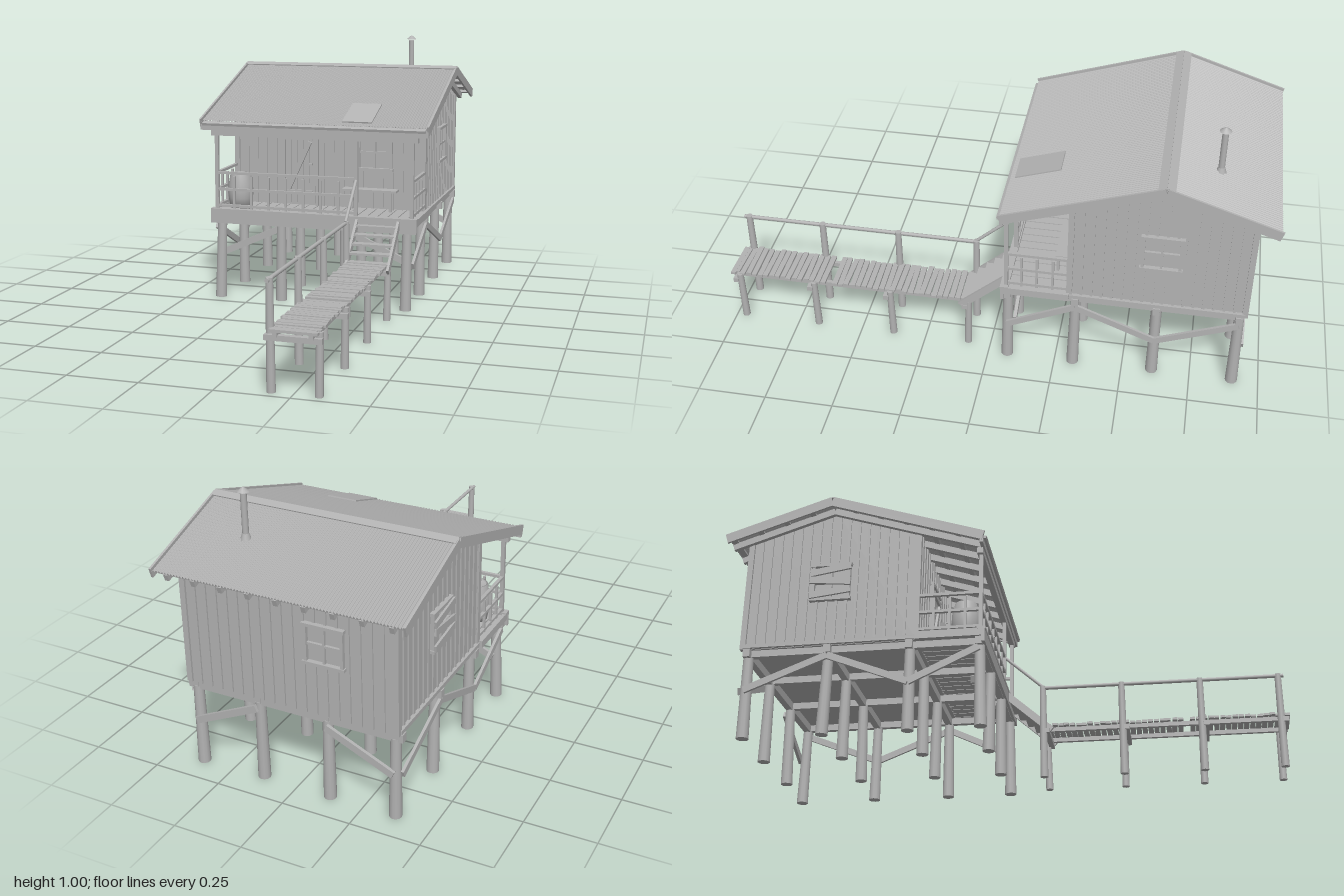
import * as THREE from 'three';

const V = (x, y, z) => new THREE.Vector3(x, y, z);
const RIDGE_Z = -0.61, RIDGE_Y = 0.88, SLOPE = 0.328;
const roofY = z => RIDGE_Y - SLOPE * Math.abs(z - RIDGE_Z);

export function createModel() {
  const model = new THREE.Group();
  const wood = new THREE.MeshStandardMaterial({ color: 0xb2b2b2, side: THREE.DoubleSide });
  wood.name = 'weathered grey';
  let seed = 7;
  const jitter = a => { seed = (seed * 16807) % 2147483647; return (seed / 2147483647 - 0.5) * 2 * a; };

  const group = (name, parent = model) => { const g = new THREE.Group(); g.name = name; parent.add(g); return g; };
  const add = (name, geo, parent) => { const m = new THREE.Mesh(geo, wood); m.name = name; parent.add(m); return m; };
  const box = (parent, name, w, h, d, x, y, z) => {
    const m = add(name, new THREE.BoxGeometry(w, h, d), parent);
    m.position.set(x, y, z);
    return m;
  };
  // rectangular timber between two points
  const beam = (parent, name, a, b, w, h) => {
    const m = add(name, new THREE.BoxGeometry(w, h, a.distanceTo(b)), parent);
    m.position.copy(a).add(b).multiplyScalar(0.5);
    m.lookAt(b);
    return m;
  };
  // round pole between two points
  const pole = (parent, name, a, b, r0, r1 = r0) => {
    const m = add(name, new THREE.CylinderGeometry(r1, r0, a.distanceTo(b), 12), parent);
    m.position.copy(a).add(b).multiplyScalar(0.5);
    m.quaternion.setFromUnitVectors(V(0, 1, 0), b.clone().sub(a).normalize());
    return m;
  };

  // stilts and bracing
  const under = group('substructure');
  const rows = [-0.075, -0.32, -0.61, -0.9], cols = [-0.37, -0.127, 0.127, 0.37];
  for (const z of rows) {
    for (const x of cols)
      pole(under, 'stilt', V(x + jitter(0.006), 0, z + jitter(0.008)), V(x, 0.305, z), 0.022, 0.018);
    box(under, 'crossBeam', 0.8, 0.03, 0.025, 0, 0.31, z);
  }
  for (let i = 0; i < 3; i++) for (const s of [-1, 1]) {
    const up = (i % 2 === 0) === (s > 0);
    beam(under, 'sideBrace', V(s * 0.393, up ? 0.17 : 0.285, rows[i]), V(s * 0.393, up ? 0.285 : 0.17, rows[i + 1]), 0.01, 0.024);
  }
  for (const z of [-0.1, -0.922]) for (const s of [-1, 1])
    beam(under, 'endBrace', V(s * 0.37, 0.175, z), V(s * 0.13, 0.285, z), 0.012, 0.025);
  for (const x of cols) box(under, 'joist', 0.02, 0.025, 0.85, x, 0.312, -0.49);

  // floor and porch deck
  const deck = group('deck');
  for (let i = 0; i < 20; i++)
    box(deck, 'floorBoard', 0.036, 0.014, 0.86, -0.38 + i * 0.04, 0.335, -0.487 + jitter(0.003));
  box(deck, 'frontRim', 0.82, 0.048, 0.012, 0, 0.322, -0.058);
  box(deck, 'frontEdge', 0.82, 0.01, 0.03, 0, 0.35, -0.065);
  for (const s of [-1, 1]) box(deck, 'sideRim', 0.012, 0.028, 0.24, s * 0.402, 0.336, -0.178);

  // house body with gable ends
  const house = group('house');
  const profile = new THREE.Shape([[0.295, 0.326], [0.92, 0.326], [0.92, roofY(-0.92) - 0.015],
    [0.61, RIDGE_Y - 0.015], [0.295, roofY(-0.295) - 0.015]].map(p => new THREE.Vector2(...p)));
  const body = add('walls', new THREE.ExtrudeGeometry(profile, { depth: 0.77, bevelEnabled: false }).rotateY(Math.PI / 2), house);
  body.position.x = -0.385;

  // wall battens, broken around the openings
  const batten = (x, z, w, d, top, gap) => {
    const spans = gap ? [[0.326, gap[0]], [gap[1], top]] : [[0.326, top]];
    for (const [a, b] of spans) if (b - a > 0.01) box(house, 'batten', w, b - a, d, x, (a + b) / 2, z);
  };
  for (let i = 0; i <= 19; i++) {
    const x = -0.38 + i * 0.04;
    const door = x > -0.19 && x < -0.04, win = x > 0.11 && x < 0.27;
    batten(x, -0.294, 0.009, 0.008, roofY(-0.295) - 0.02, door ? [0.33, 0.65] : win ? [0.49, 0.645] : null);
    batten(x, -0.922, 0.009, 0.008, roofY(-0.92) - 0.02, x > -0.21 && x < -0.06 ? [0.51, 0.66] : null);
  }
  for (let i = 0; i <= 17; i++) {
    const z = -0.303 - i * 0.036;
    for (const s of [-1, 1])
      batten(s * 0.386, z, 0.008, 0.009, roofY(z) - 0.02, z < -0.54 && z > -0.685 ? [0.5, 0.64] : null);
  }
  for (const s of [-1, 1]) for (const z of [-0.297, -0.918])
    box(house, 'cornerBoard', 0.02, 0.435, 0.02, s * 0.384, 0.543, z);

  // windows, built facing +z
  const makeWindow = (name, w, h, x, y, z, turn) => {
    const g = group(name, house);
    g.position.set(x, y, z);
    g.rotation.y = turn;
    for (const s of [-1, 1]) {
      box(g, 'jamb', 0.011, h, 0.016, s * w / 2, 0, 0.006);
      box(g, 'headAndSill', w + 0.02, 0.011, 0.02, 0, s * h / 2, 0.007);
    }
    box(g, 'mullion', 0.008, h, 0.01, 0, 0, 0.005);
    box(g, 'glazingBar', w, 0.008, 0.01, 0, 0, 0.005);
    return g;
  };
  makeWindow('frontWindow', 0.13, 0.135, 0.19, 0.567, -0.295, 0);
  makeWindow('leftWindow', 0.13, 0.135, 0.385, 0.57, -0.612, Math.PI / 2);
  makeWindow('backWindow', 0.13, 0.135, -0.135, 0.585, -0.92, Math.PI);
  const boarded = makeWindow('boardedWindow', 0.13, 0.135, -0.385, 0.57, -0.612, -Math.PI / 2);
  [-0.045, 0, 0.045].forEach((y, i) => {
    box(boarded, 'nailedBoard', 0.15, 0.025, 0.008, 0, y, 0.02).rotation.z = [0.12, -0.1, 0.16][i];
  });

  // ledged door
  const door = group('door', house);
  for (let i = 0; i < 5; i++) box(door, 'doorPlank', 0.023, 0.285, 0.012, -0.165 + i * 0.025, 0.493, -0.292);
  for (const y of [0.395, 0.615]) box(door, 'doorLedge', 0.115, 0.018, 0.01, -0.12, y, -0.282);
  beam(door, 'doorBrace', V(-0.165, 0.405, -0.282), V(-0.075, 0.6, -0.282), 0.01, 0.018);
  for (const x of [-0.184, -0.046]) box(door, 'doorJamb', 0.01, 0.31, 0.02, x, 0.497, -0.29);
  box(door, 'doorHead', 0.15, 0.012, 0.02, -0.115, 0.648, -0.29);
  box(door, 'doorHandle', 0.012, 0.008, 0.015, -0.07, 0.51, -0.28);

  // corrugated roof
  const roof = group('roof');
  for (const s of [1, -1]) {
    const run = s > 0 ? 0.555 : 0.385;
    const sheet = new THREE.PlaneGeometry(0.9, 1, 480, 1), p = sheet.attributes.position;
    for (let i = 0; i < p.count; i++) {
      const x = p.getX(i), z = RIDGE_Z + s * (0.5 - p.getY(i)) * run;
      p.setXYZ(i, s * x, roofY(z) + 0.003 * Math.cos(x / 0.9 * Math.PI * 160), z);
    }
    sheet.computeVertexNormals();
    add('corrugatedSheet', sheet, roof);
    const slopePt = (x, z, dy) => V(x, roofY(z) + dy, z);
    const end = RIDGE_Z + s * run;
    for (let i = 0; i < 9; i++) {
      const x = -0.4 + i * 0.1;
      beam(roof, 'rafter', slopePt(x, RIDGE_Z, -0.026), slopePt(x, end - s * 0.012, -0.026), 0.016, 0.024);
    }
    for (let t = 0.08; t < run; t += 0.095) {
      const z = RIDGE_Z + s * t;
      box(roof, 'purlin', 0.88, 0.01, 0.02, 0, roofY(z) - 0.01, z).rotation.x = s * Math.atan(SLOPE);
    }
    for (const e of [-1, 1])
      beam(roof, 'bargeBoard', slopePt(e * 0.449, RIDGE_Z, -0.01), slopePt(e * 0.449, end, -0.01), 0.008, 0.036);
    box(roof, 'ridgeCap', 0.9, 0.004, 0.03, 0, RIDGE_Y + 0.003, RIDGE_Z + s * 0.014).rotation.x = s * 0.3;
  }
  box(roof, 'frontFascia', 0.9, 0.028, 0.012, 0, 0.676, -0.062);
  box(roof, 'patchSheet', 0.115, 0.005, 0.17, 0.172, roofY(-0.155) + 0.006, -0.155).rotation.x = Math.atan(SLOPE);

  // stove pipe
  const chimney = group('chimney');
  pole(chimney, 'pipe', V(0.225, 0.78, -0.78), V(0.225, 0.98, -0.78), 0.011);
  pole(chimney, 'flashing', V(0.225, 0.815, -0.78), V(0.225, 0.84, -0.78), 0.02, 0.012);
  pole(chimney, 'cowl', V(0.225, 0.985, -0.78), V(0.225, 1.0, -0.78), 0.021, 0.003);

  // porch posts and railings
  const porch = group('porch');
  for (const x of [-0.388, 0.172, 0.388]) box(porch, 'porchPost', 0.014, 0.31, 0.014, x, 0.495, -0.07);
  box(porch, 'porchBeam', 0.82, 0.022, 0.022, 0, 0.652, -0.072);
  for (const y of [0.365, 0.43, 0.495]) {
    box(porch, 'frontRail', 0.56, 0.01, 0.012, -0.108, y, -0.07);
    for (const s of [-1, 1]) box(porch, 'sideRail', 0.012, 0.01, 0.225, s * 0.388, y, -0.183);
  }
  for (let i = 0; i < 7; i++) box(porch, 'baluster', 0.009, 0.13, 0.009, -0.318 + i * 0.07, 0.418, -0.07);
  for (const s of [-1, 1]) for (const z of [-0.125, -0.18, -0.237])
    box(porch, 'sideBaluster', 0.009, 0.13, 0.009, s * 0.388, 0.418, z);

  // barrel and bench
  const staves = [[0, 0], [0.04, 0], [0.048, 0.045], [0.05, 0.07], [0.048, 0.095], [0.04, 0.14], [0.036, 0.14], [0.036, 0.132], [0, 0.132]];
  add('barrel', new THREE.LatheGeometry(staves.map(p => new THREE.Vector2(...p)), 20), porch).position.set(-0.315, 0.345, -0.135);
  box(porch, 'benchSeat', 0.22, 0.008, 0.05, 0.18, 0.422, -0.258);
  for (const x of [0.1, 0.265]) for (const z of [-0.24, -0.276])
    box(porch, 'benchLeg', 0.012, 0.078, 0.009, x, 0.381, z);

  // stairs
  const stairs = group('stairs');
  for (const x of [0.18, 0.34]) beam(stairs, 'stringer', V(x, 0.185, 0.11), V(x, 0.335, -0.06), 0.01, 0.028);
  for (let i = 0; i < 5; i++) box(stairs, 'tread', 0.155, 0.008, 0.035, 0.26, 0.21 + i * 0.028, 0.085 - i * 0.032);
  pole(stairs, 'handrail', V(0.172, 0.36, 0.08), V(0.172, 0.49, -0.065), 0.006);

  // walkway
  const walk = group('walkway');
  for (const z of [0.08, 0.38, 0.675, 0.965]) {
    pole(walk, 'railPost', V(0.178, 0, z + jitter(0.006)), V(0.174, 0.362, z), 0.015, 0.012);
    pole(walk, 'shortPost', V(0.332, 0, z + jitter(0.006)), V(0.334, 0.205, z), 0.014, 0.012);
    box(walk, 'bearer', 0.185, 0.018, 0.02, 0.255, 0.18, z + 0.015);
  }
  for (const x of [0.2, 0.315]) box(walk, 'walkBeam', 0.014, 0.016, 0.91, x, 0.193, 0.54);
  for (let z = 0.1; z < 1; z += 0.0225) {
    if (z > 0.6 && z < 0.63) continue;
    const plank = box(walk, 'plank', 0.155 + jitter(0.006), 0.009, 0.019, 0.256 + jitter(0.004), 0.206 + jitter(0.002), Math.min(z, 0.99));
    plank.rotation.y = jitter(0.03);
  }
  const railZ = [0.08, 0.38, 0.675, 0.985];
  for (let i = 0; i < 3; i++) pole(walk, 'walkRail', V(0.172, 0.355, railZ[i]), V(0.172, 0.355, railZ[i + 1]), 0.007);

  return model;
}
